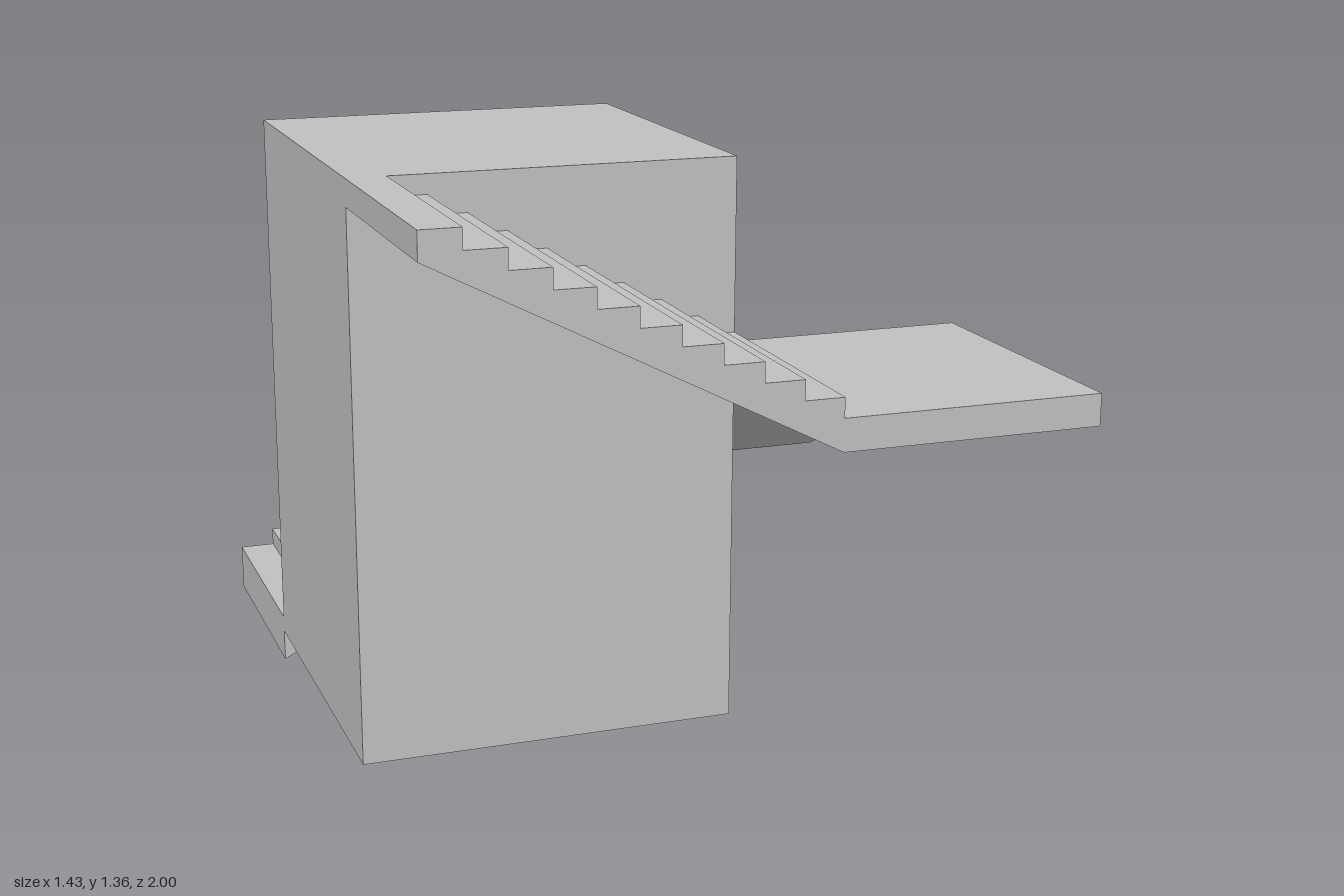
import * as THREE from 'three';

const STEPS = 10, RISE = 0.043;
const HALF_X = 0.715, HALF_Z = 1;
const CORE = { x0: -HALF_X, x1: 0.14, y0: 0.075, y1: 1.36, z0: -0.43, z1: 0.425 };

export function createModel() {
  const group = new THREE.Group();
  const concrete = new THREE.MeshStandardMaterial({ color: 0xc0c0c0 });
  concrete.name = 'concrete grey';

  const add = (name, geometry) => {
    const mesh = new THREE.Mesh(geometry, concrete);
    mesh.name = name;
    group.add(mesh);
    return mesh;
  };

  const block = (name, x0, x1, y0, y1, z0, z1) =>
    add(name, new THREE.BoxGeometry(x1 - x0, y1 - y0, z1 - z0))
      .position.set((x0 + x1) / 2, (y0 + y1) / 2, (z0 + z1) / 2);

  // Stepped profile from its high end to its low end, with a sloping soffit
  const flight = (name, high, low, topY, soffitHigh, soffitLow, width) => {
    const run = (low - high) / STEPS;
    const shape = new THREE.Shape();
    shape.moveTo(high, soffitHigh);
    for (let i = 0; i < STEPS; i++) {
      const y = topY - i * RISE;
      shape.lineTo(high + i * run, y);
      shape.lineTo(high + (i + 1) * run, y);
    }
    shape.lineTo(low, soffitLow);
    shape.closePath();
    return add(name, new THREE.ExtrudeGeometry(shape, { depth: width, bevelEnabled: false }));
  };

  // Central square tower
  block('tower', CORE.x0, CORE.x1, CORE.y0, CORE.y1, CORE.z0, CORE.z1);

  // Corner landings
  block('upperLanding', CORE.x1, HALF_X, 0.86, 0.93, CORE.z1, HALF_Z);
  block('lowerLanding', CORE.x1, HALF_X, 0.43, 0.5, -HALF_Z, CORE.z0);

  // Flights winding down around the tower
  flight('frontFlight', CORE.x0, CORE.x1, 1.36, 1.3, 0.86, HALF_Z - CORE.z1).position.z = CORE.z1;

  const side = flight('sideFlight', CORE.z1, CORE.z0, 0.93, 0.86, 0.43, HALF_X - CORE.x1);
  side.rotation.y = -Math.PI / 2;
  side.position.x = HALF_X;

  flight('backFlight', CORE.x1, CORE.x0, 0.5, 0.43, 0, CORE.z0 + HALF_Z).position.z = -HALF_Z;

  return group;
}
